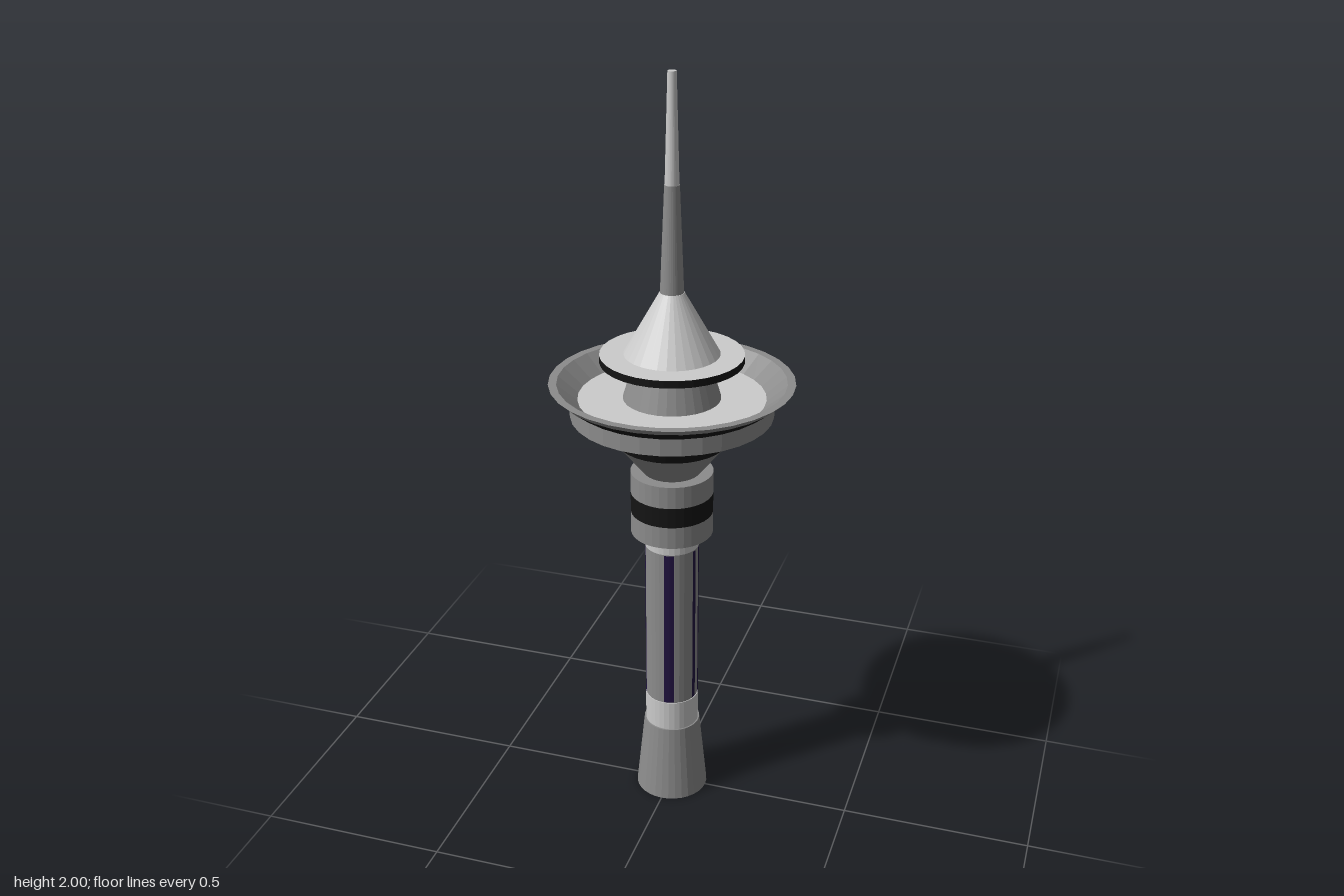
import * as THREE from 'three';

const SIDES = 32;
const material = (color, flatShading = true) =>
  new THREE.MeshStandardMaterial({ color, flatShading, side: THREE.DoubleSide });
const light = material(0xcccccc);
const grey = material(0x8c8c8c);
const black = material(0x141414);
const purple = material(0x20123f);

export function createModel() {
  const tower = new THREE.Group();
  tower.name = 'tower';

  const add = (name, geometry, mat) => {
    const mesh = new THREE.Mesh(geometry, mat);
    mesh.name = name;
    tower.add(mesh);
    return mesh;
  };
  // Closed round section between two heights
  const section = (name, y0, r0, y1, r1, mat) => {
    const mesh = add(name, new THREE.CylinderGeometry(r1, r0, y1 - y0, SIDES), mat);
    mesh.position.y = (y0 + y1) / 2;
    return mesh;
  };
  // Open turned surface through [radius, height] points
  const turned = (name, points, mat) =>
    add(name, new THREE.LatheGeometry(points.map(([r, y]) => new THREE.Vector2(r, y)), SIDES), mat);

  // Flared foot, shaft and its pale collars
  section('base', 0, 0.098, 0.215, 0.076, grey);
  section('lowerCollar', 0.215, 0.072, 0.3, 0.072, light);
  section('shaft', 0.3, 0.07, 0.76, 0.07, grey);
  section('upperCollar', 0.76, 0.072, 0.8, 0.072, light);

  // Shaft windows: one wide at the front, a row of narrow ones on each side
  const windowStrip = (name, centre, width) => {
    const strip = add(name, new THREE.CylinderGeometry(0.0715, 0.0715, 0.455, 4, 1, true,
      THREE.MathUtils.degToRad(centre - width / 2), THREE.MathUtils.degToRad(width)), purple);
    strip.position.y = 0.53;
  };
  windowStrip('frontWindow', 11, 22);
  for (const start of [73, 222])
    for (let i = 0; i < 4; i++) windowStrip('sideWindow', start + i * 24.5, 10);

  // Lower drum with a dark window band
  section('drumBottom', 0.8, 0.108, 0.86, 0.108, grey);
  section('drumWindowBand', 0.86, 0.108, 0.915, 0.108, black);
  section('drumTop', 0.915, 0.108, 0.975, 0.108, grey);

  // Underside of the pod
  section('podFunnel', 0.975, 0.075, 1.06, 0.143, grey);
  section('podWindows', 1.06, 0.143, 1.135, 0.17, black);
  turned('deckUnderside', [[0.16, 1.135], [0.26, 1.135]], black);
  turned('deckRing', [[0.26, 1.135], [0.26, 1.18]], grey);

  // Open bowl: dark flare, rim, inner wall and floor
  turned('bowlFlare', [[0.26, 1.18], [0.295, 1.207]], black);
  turned('bowlRim', [[0.295, 1.207], [0.313, 1.224], [0.292, 1.224]], grey);
  turned('bowlWall', [[0.292, 1.224], [0.24, 1.18]], grey);
  turned('bowlFloor', [[0.24, 1.18], [0, 1.18]], light);

  // Hub, thin disc, roof and spire
  section('hub', 1.18, 0.125, 1.28, 0.095, grey);
  section('discEdge', 1.279, 0.183, 1.298, 0.183, black);
  turned('discTop', [[0.183, 1.2985], [0, 1.2985]], light);
  section('roof', 1.299, 0.122, 1.46, 0.031, light);
  section('lowerSpire', 1.46, 0.03, 1.73, 0.019, grey);
  section('upperSpire', 1.73, 0.018, 2, 0.011, light);

  return tower;
}
